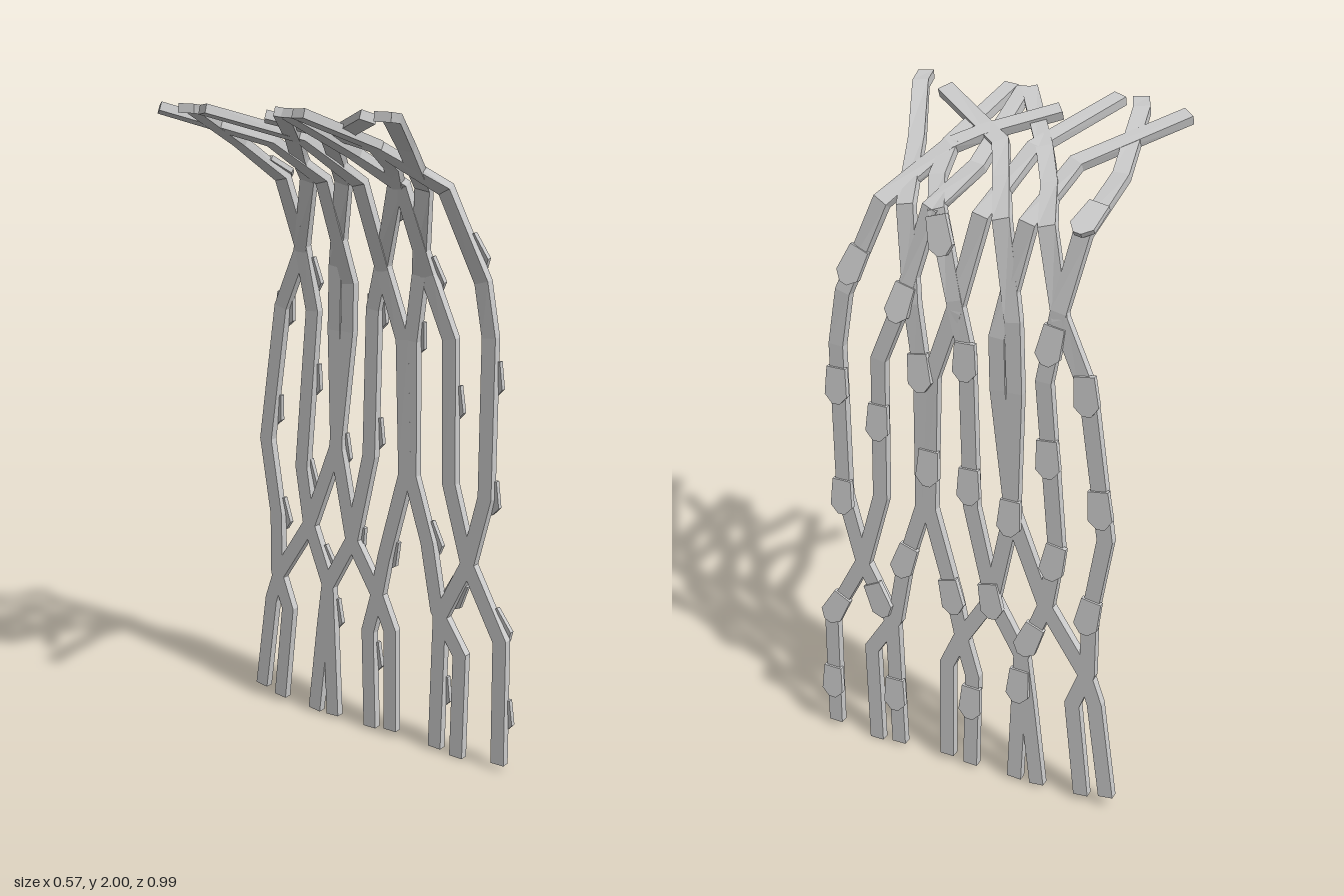
import * as THREE from 'three';

const material = new THREE.MeshStandardMaterial({ color: 0xcccccc, flatShading: true });
const HALF_WIDTH = 0.023, HALF_DEPTH = 0.013;

// Drape profile shared by all vines: [x, y] from the tips down to the ground
const PROFILE = [[-0.28, 1.987], [-0.18, 1.978], [0, 1.9], [0.08, 1.855], [0.2, 1.76],
  [0.235, 1.6], [0.25, 1.4], [0.251, 0]];

function onProfile(value, from, to) {
  for (let i = 1; i < PROFILE.length; i++) {
    const a = PROFILE[i - 1], b = PROFILE[i];
    const t = (value - a[from]) / (b[from] - a[from]);
    if (t <= 1 || i === PROFILE.length - 1) return a[to] + (b[to] - a[to]) * t;
  }
}

// Right-handed frame: side across the vine, up along it, normal away from the drape
function frame(dir) {
  const up = dir.clone().negate();
  const normal = new THREE.Vector3(-dir.y, dir.x, 0).normalize();
  const side = new THREE.Vector3().crossVectors(up, normal);
  return { side, up, normal };
}

// Flat strip with a rectangular section, mitred at each bend
function stripGeometry(points) {
  const pos = [], index = [];
  const dirs = points.slice(1).map((p, i) => p.clone().sub(points[i]).normalize());
  points.forEach((p, i) => {
    const before = dirs[Math.max(i - 1, 0)], after = dirs[Math.min(i, dirs.length - 1)];
    const t = before.clone().add(after).normalize();
    const { side, normal } = frame(t);
    const mitre = 1 / t.dot(after);
    for (const [s, n] of [[-1, -1], [1, -1], [1, 1], [-1, 1]]) {
      const v = p.clone().addScaledVector(side, s * HALF_WIDTH * mitre)
        .addScaledVector(normal, n * HALF_DEPTH);
      pos.push(v.x, Math.max(v.y, 0), v.z);
    }
    if (i === 0) return;
    for (let j = 0; j < 4; j++) {
      const k = (j + 1) % 4, a = (i - 1) * 4, b = i * 4;
      index.push(a + j, a + k, b + k, a + j, b + k, b + j);
    }
  });
  const e = (points.length - 1) * 4;
  index.push(0, 2, 1, 0, 3, 2, e, e + 1, e + 2, e, e + 2, e + 3);
  const g = new THREE.BufferGeometry();
  g.setAttribute('position', new THREE.Float32BufferAttribute(pos, 3));
  g.setIndex(index);
  const flat = g.toNonIndexed();
  flat.computeVertexNormals();
  return flat;
}

// Blunt pointed leaf that stands out further towards its tip
function leafGeometry() {
  const shape = new THREE.Shape([[-0.03, 0.052], [-0.036, -0.032], [-0.012, -0.057],
    [0.012, -0.057], [0.036, -0.032], [0.03, 0.052]].map(([x, y]) => new THREE.Vector2(x, y)));
  const g = new THREE.ExtrudeGeometry(shape, { depth: 0.016, bevelEnabled: false });
  const p = g.attributes.position;
  for (let i = 0; i < p.count; i++) p.setZ(i, p.getZ(i) + 0.008 - p.getY(i) * 0.09);
  g.computeVertexNormals();
  return g;
}

export function createModel() {
  const model = new THREE.Group();
  model.name = 'hangingVines';
  const leafGeo = leafGeometry();

  // top: [x, z] over the bend, low: [z, y] down the wall, leaves: heights along the vine
  function vine(top, low, leaves) {
    const points = [
      ...top.map(([x, z]) => new THREE.Vector3(x, onProfile(x, 0, 1), z)),
      ...low.map(([z, y]) => new THREE.Vector3(onProfile(y, 1, 0), y, z)),
    ];
    const group = new THREE.Group();
    group.name = 'vine';
    const stem = new THREE.Mesh(stripGeometry(points), material);
    stem.name = 'stem';
    group.add(stem);
    for (const y of leaves) {
      const i = points.findIndex((p) => p.y <= y);
      const a = points[i - 1], b = points[i];
      const { side, up, normal } = frame(b.clone().sub(a).normalize());
      const leaf = new THREE.Mesh(leafGeo, material);
      leaf.name = 'leaf';
      leaf.quaternion.setFromRotationMatrix(new THREE.Matrix4().makeBasis(side, up, normal));
      leaf.position.lerpVectors(a, b, (y - a.y) / (b.y - a.y));
      group.add(leaf);
    }
    model.add(group);
  }

  // Nine vines, from the left of the wall to the right
  vine([[-0.15, -0.11], [-0.03, 0.07], [0.03, 0.14], [0.2, 0.26]],
    [[0.365, 1.5], [0.39, 1.34], [0.39, 0.86], [0.335, 0.64], [0.24, 0.45], [0.23, 0.01]],
    [1.58, 1.22, 0.86, 0.53, 0.2]);
  vine([[-0.25, 0.045], [0.08, 0.03], [0.2, 0.11]],
    [[0.18, 1.5], [0.255, 1.32], [0.265, 0.88], [0.335, 0.64], [0.455, 0.42], [0.46, 0.02]],
    [1.5, 1.13, 0.46, 0.18]);
  vine([[-0.28, 0.375], [-0.2, 0.35], [0.02, 0.245], [0.2, 0.185]],
    [[0.15, 1.5], [0.12, 1.3], [0.125, 0.88], [0.19, 0.68], [0.23, 0.47], [0.315, 0.34], [0.31, 0]],
    [1.31, 0.69]);
  vine([[-0.27, -0.235], [0, -0.1], [0.2, -0.04]],
    [[0.02, 1.5], [0.09, 1.3], [0.105, 0.88], [0.03, 0.6], [0, 0.45], [-0.03, 0.34], [-0.02, 0.01]],
    [1.02, 0.61, 0.25]);
  vine([[-0.26, 0.09], [0.02, 0.14], [0.12, 0.13], [0.2, 0.09]],
    [[0.02, 1.53], [-0.02, 1.38], [-0.03, 0.92], [-0.095, 0.63], [-0.19, 0.46], [-0.21, 0.31], [-0.245, 0.01]],
    [1.7, 1.37, 0.99, 0.63]);
  vine([[-0.18, 0.26], [0, 0], [0.1, -0.05], [0.2, -0.1]],
    [[-0.155, 1.5], [-0.165, 1.3], [-0.155, 0.92], [-0.095, 0.63], [0.01, 0.46], [0.055, 0.36], [0.06, 0.02]],
    [0.92]);
  vine([[-0.2, -0.46], [0.03, -0.235], [0.2, -0.175]],
    [[-0.11, 1.45], [-0.115, 1.3], [-0.16, 0.92], [-0.265, 0.65], [-0.39, 0.46], [-0.425, 0.36], [-0.47, 0.04]],
    []);
  vine([[-0.27, -0.295], [-0.2, -0.325], [0.05, -0.37], [0.2, -0.33]],
    [[-0.285, 1.55], [-0.25, 1.35], [-0.295, 0.84], [-0.265, 0.65], [-0.19, 0.46], [-0.17, 0.01]],
    [1.78, 1.46, 1.13, 0.81, 0.53, 0.36]);
  vine([[-0.25, 0.03], [0, -0.13], [0.1, -0.19], [0.2, -0.23]],
    [[-0.29, 1.53], [-0.375, 1.35], [-0.44, 0.91], [-0.4, 0.66], [-0.4, 0.46], [-0.355, 0.34], [-0.39, 0.02]],
    [1.34, 1.01, 0.66]);

  return model;
}
